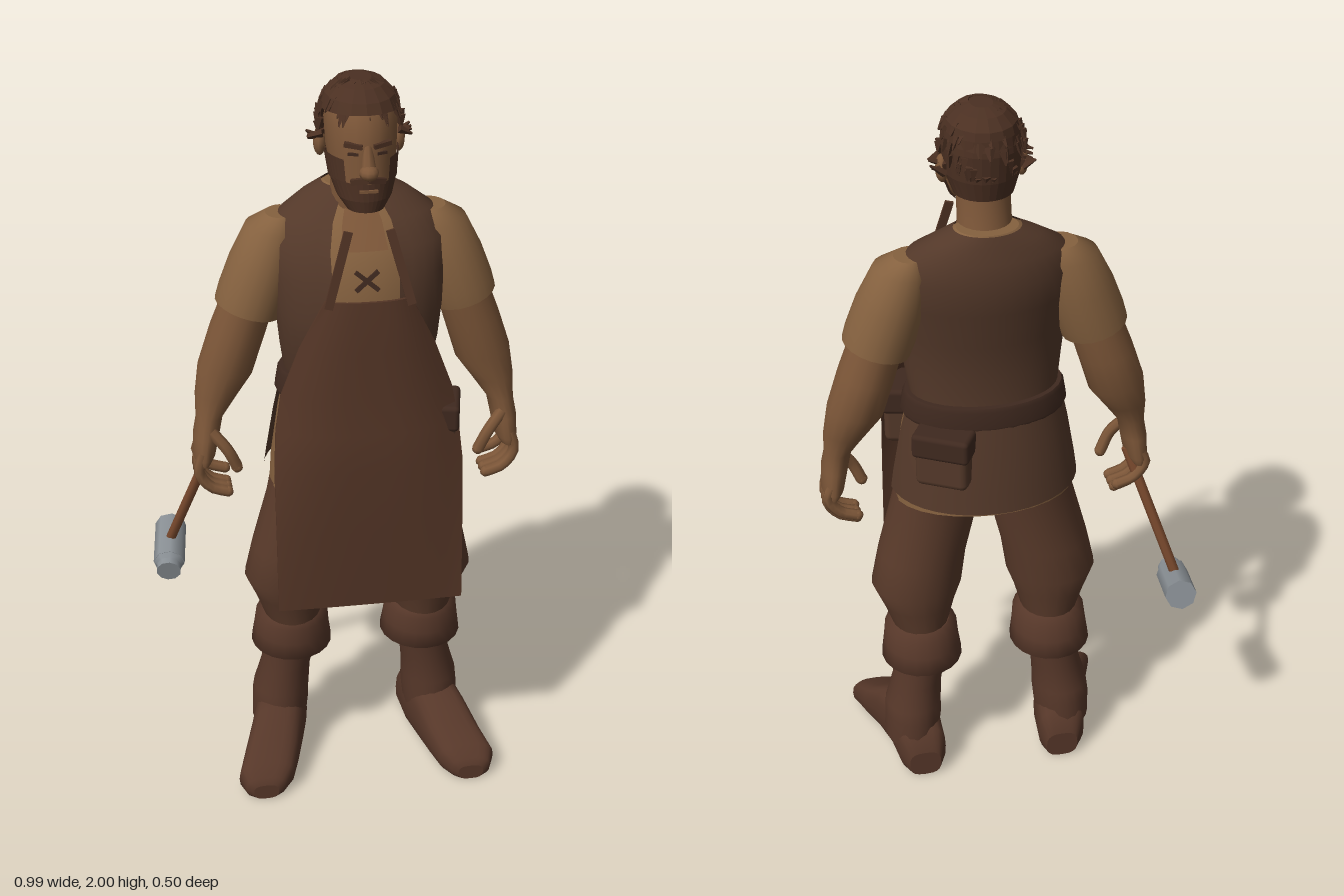
import * as THREE from 'three';
import { RoundedBoxGeometry } from 'three/addons/geometries/RoundedBoxGeometry.js';

const CX = 0.055; // body centre line
const V = (x, y, z) => new THREE.Vector3(x, y, z);
const mat = (name, color, flat = false) => {
  const m = new THREE.MeshStandardMaterial({ color, flatShading: flat, side: THREE.DoubleSide });
  m.name = name;
  return m;
};

// Skin over elliptical sections [y, x, z, rx, rz, slopeX, slopeZ]; arc in degrees from the front leaves it open
function loft(sections, { arc = null, n = 20, power = 1 } = {}) {
  const rows = [...sections].sort((a, b) => a[0] - b[0]);
  const pos = [], idx = [];
  const [t0, t1] = (arc || [0, 360]).map(THREE.MathUtils.degToRad);
  const cols = arc ? n + 1 : n;
  const bend = (v) => Math.sign(v) * Math.abs(v) ** power;
  const ring = ([y, x, z, rx, rz, sx = 0, sz = 0]) => {
    const start = pos.length / 3;
    for (let j = 0; j < cols; j++) {
      const t = t0 + ((t1 - t0) * j) / n;
      const dx = rx * bend(Math.sin(t)), dz = rz * bend(Math.cos(t));
      pos.push(x + dx, y + sx * dx + sz * dz, z + dz);
    }
    return start;
  };
  const starts = rows.map(ring);
  for (let i = 0; i < rows.length - 1; i++) {
    for (let j = 0; j < n; j++) {
      const k = (j + 1) % cols, a = starts[i], b = starts[i + 1];
      idx.push(a + j, a + k, b + j, a + k, b + k, b + j);
    }
  }
  if (!arc) {
    [rows[0], rows[rows.length - 1]].forEach((r, end) => {
      const s = ring(r), c = pos.length / 3;
      pos.push(r[1], r[0], r[2]);
      for (let j = 0; j < n; j++) {
        const k = (j + 1) % n;
        end ? idx.push(c, s + j, s + k) : idx.push(c, s + k, s + j);
      }
    });
  }
  const g = new THREE.BufferGeometry();
  g.setAttribute('position', new THREE.Float32BufferAttribute(pos, 3));
  g.setIndex(idx);
  g.computeVertexNormals();
  return g;
}

export function createModel() {
  const model = new THREE.Group();
  model.name = 'blacksmith';
  const skin = mat('skin', 0x7c5638), linen = mat('linen', 0x85613f), vestMat = mat('vest leather', 0x533829);
  const apronMat = mat('apron leather', 0x523425), cloth = mat('trouser cloth', 0x593a2a);
  const boot = mat('boot leather', 0x563729), hair = mat('hair', 0x4b3022, true);
  const steel = mat('steel', 0x8a9095), wood = mat('wood', 0x79492d), dark = mat('dark leather', 0x3f291f);

  const add = (name, geo, m, parent = model) => {
    const mesh = new THREE.Mesh(geo, m);
    mesh.name = name;
    parent.add(mesh);
    return mesh;
  };
  const box = (name, size, p, m, rot = [0, 0, 0]) => {
    const mesh = add(name, new THREE.BoxGeometry(...size), m);
    mesh.position.set(...p);
    mesh.rotation.set(...rot);
    return mesh;
  };
  const rod = (name, a, b, r, m, sides = 8, r2 = r) => {
    const mesh = add(name, new THREE.CylinderGeometry(r2, r, a.distanceTo(b), sides), m);
    mesh.position.copy(a).lerp(b, 0.5);
    mesh.quaternion.setFromUnitVectors(V(0, 1, 0), b.clone().sub(a).normalize());
    return mesh;
  };
  // centred sections [y, z, rx, rz]
  const mid = (rows, grow = 0) => rows.map(([y, z, rx, rz, sz = 0]) => [y, CX, z, rx + grow, rz + grow, 0, sz]);
  // sections [y, distance from centre, z, r, rz, slope] on one side
  const sided = (rows, s) => rows.map(([y, u, z, r, rz, k = 0]) => [y, CX + s * u, z, r, rz, s * k]);

  // Torso
  const torso = [[1.2, -0.02, 0.19, 0.12], [1.3, 0, 0.205, 0.135], [1.4, -0.002, 0.215, 0.147], [1.5, -0.02, 0.226, 0.148],
    [1.58, -0.04, 0.23, 0.14], [1.64, -0.058, 0.195, 0.108], [1.68, -0.075, 0.135, 0.08], [1.705, -0.08, 0.085, 0.065]];
  add('vest', loft(mid(torso), { arc: [22, 338], n: 32 }), vestMat);
  add('shirt', loft(mid(torso, -0.008), { n: 32 }), linen);
  add('openCollar', loft(mid(torso.slice(4, 7), -0.004), { arc: [-15, 15], n: 6 }), skin);
  for (const r of [-0.7, 0.7]) box('chestLace', [0.075, 0.011, 0.008], [CX, 1.515, 0.128], dark, [-0.2, 0, r]);

  // Shirt tail, vest skirt and belt
  add('shirtTail', loft(mid([[1.22, -0.01, 0.19, 0.125], [1.1, 0, 0.215, 0.16], [0.96, 0.005, 0.235, 0.182, -0.1],
    [0.885, 0.008, 0.24, 0.188, -0.15]]), { n: 28 }), linen);
  add('vestSkirt', loft(mid([[1.22, -0.015, 0.197, 0.132], [1.1, -0.005, 0.224, 0.17], [0.98, 0, 0.245, 0.193],
    [0.93, 0, 0.252, 0.2]]), { arc: [95, 265], n: 18 }), vestMat);
  add('belt', loft(mid([[1.16, -0.012, 0.215, 0.146], [1.17, -0.012, 0.219, 0.15], [1.215, -0.015, 0.211, 0.143],
    [1.225, -0.015, 0.205, 0.138]]), { n: 28 }), dark);

  // Pouches
  const pouch = (name, size, p, turn) => {
    const g = new THREE.Group();
    g.name = name;
    g.position.set(...p);
    g.rotation.y = turn;
    model.add(g);
    const [w, h, d] = size;
    add('pouchBag', new RoundedBoxGeometry(w, h, d, 2, 0.018), vestMat, g);
    add('pouchFlap', new RoundedBoxGeometry(w + 0.012, h * 0.45, d + 0.012, 2, 0.012), dark, g).position.y = h * 0.3;
  };
  pouch('hipPouch', [0.12, 0.16, 0.08], [0.255, 1.09, 0.12], 1.35);
  pouch('backPouch', [0.14, 0.15, 0.07], [0.185, 1.09, -0.15], -0.5);

  // Apron: a thin sheet shaped by rows of [y, half width, z, backward curl]
  const rows = [[0.63, 0.244, 0.24, 0.003], [0.85, 0.244, 0.236, 0.02], [1.03, 0.244, 0.23, 0.04], [1.13, 0.236, 0.22, 0.06],
    [1.22, 0.22, 0.202, 0.06], [1.35, 0.172, 0.195, 0.05], [1.48, 0.108, 0.175, 0.02]];
  const sheet = new THREE.BoxGeometry(2, 6, 0.008, 12, 6, 1), sp = sheet.attributes.position;
  for (let i = 0; i < sp.count; i++) {
    const v = sp.getX(i), [y, hw, z, curl] = rows[Math.round(sp.getY(i) + 3)];
    sp.setXYZ(i, 0.053 + hw * v, y, z + sp.getZ(i) - curl * Math.abs(v) ** 3);
  }
  sheet.computeVertexNormals();
  add('apron', sheet, apronMat);
  for (const s of [-1, 1]) {
    const strap = box('apronStrap', [0.022, 0.2, 0.008], [CX + s * 0.078, 1.565, 0.165], apronMat, [-0.13, 0, s * 0.27]);
    strap.rotation.order = 'ZXY';
  }

  for (const s of [-1, 1]) {
    const side = s > 0 ? 'left' : 'right';
    const P = (u, y, z) => V(CX + s * u, y, z);

    // Arm
    add(side + 'Sleeve', loft(sided([[1.635, 0.19, -0.06, 0.04, 0.045], [1.6, 0.207, -0.057, 0.074, 0.08, 0.1],
      [1.5, 0.24, -0.052, 0.085, 0.094, 0.25], [1.42, 0.268, -0.05, 0.086, 0.095, 0.3], [1.385, 0.28, -0.05, 0.084, 0.093, 0.3]], s)), linen);
    add(side + 'Arm', loft(sided([[1.43, 0.268, -0.055, 0.065, 0.07, 0.3], [1.31, 0.31, -0.06, 0.071, 0.078, 0.2],
      [1.21, 0.342, -0.06, 0.072, 0.068, 0.2], [1.14, 0.37, -0.05, 0.055, 0.054, 0.1], [1.08, 0.39, -0.04, 0.036, 0.042],
      [1.03, 0.4, -0.036, 0.035, 0.055], [0.97, 0.408, -0.036, 0.03, 0.06], [0.95, 0.41, -0.036, 0.02, 0.055]], s), { n: 16 }), skin);
    const digit = (name, pts, r) => {
      add(name, new THREE.TubeGeometry(new THREE.CatmullRomCurve3(pts), 8, r, 7), skin);
      add(name + 'Tip', new THREE.SphereGeometry(r, 7, 6), skin).position.copy(pts[pts.length - 1]);
    };
    for (let i = 0; i < 4; i++) {
      const z = 0.006 - i * 0.028, up = i === 3 ? 0.025 : 0;
      digit(side + 'Finger', [P(0.412, 0.99, z), P(0.425, 0.93 + up, z), P(0.395, 0.885 + up, z), P(0.35, 0.868 + up, z)], 0.015);
    }
    digit(side + 'Thumb', [P(0.39, 1.05, 0), P(0.35, 1.0, 0.015), P(0.325, 0.945, 0.012)], 0.016);

    // Leg
    add(side + 'TrouserLeg', loft(sided([[1.0, 0.11, 0, 0.108, 0.12], [0.85, 0.132, 0.014, 0.118, 0.118], [0.7, 0.17, 0.01, 0.12, 0.117],
      [0.6, 0.188, 0.005, 0.124, 0.114], [0.54, 0.186, 0, 0.1, 0.1], [0.46, 0.182, -0.003, 0.075, 0.088]], s)), cloth);
    add(side + 'BootCuff', loft(sided([[0.475, 0.18, -0.005, 0.078, 0.088], [0.458, 0.182, -0.01, 0.1, 0.106], [0.41, 0.183, -0.015, 0.105, 0.112],
      [0.362, 0.183, -0.02, 0.112, 0.118], [0.348, 0.183, -0.02, 0.08, 0.085]], s)), boot);
    add(side + 'BootShaft', loft(sided([[0.37, 0.185, -0.02, 0.074, 0.08], [0.28, 0.2, -0.025, 0.069, 0.078], [0.205, 0.213, -0.028, 0.078, 0.086],
      [0.17, 0.215, -0.032, 0.08, 0.094], [0.09, 0.22, -0.03, 0.076, 0.096]], s)), boot);
    // Foot stations run heel to toe: [z, outward, half width, height]
    const foot = [[-0.14, 0.2, 0.045, 0.08], [-0.115, 0.203, 0.066, 0.15], [-0.02, 0.214, 0.073, 0.2], [0.06, 0.236, 0.074, 0.175],
      [0.13, 0.26, 0.077, 0.125], [0.2, 0.284, 0.077, 0.09], [0.232, 0.29, 0.055, 0.065], [0.24, 0.29, 0.035, 0.045]];
    add(side + 'Foot', loft(foot.map(([z, u, r, h]) => [z, CX + s * u, -h / 2, r, h / 2]), { power: 0.7 }).rotateX(Math.PI / 2), boot);
  }

  // Hammer
  const head = V(-0.45, 0.6, -0.16), axis = V(0.02, 0.04, -0.17).normalize();
  const along = (d) => head.clone().addScaledVector(axis, d);
  rod('hammerHandle', V(-0.325, 0.99, -0.05), V(-0.452, 0.615, -0.162), 0.014, wood);
  rod('hammerHead', along(-0.06), along(0.088), 0.043, steel, 8);
  rod('hammerNeck', along(-0.075), along(-0.06), 0.03, steel, 8, 0.042);
  rod('hammerFace', along(-0.094), along(-0.074), 0.034, steel, 10);

  // Head and neck
  add('neck', loft(mid([[1.62, -0.06, 0.085, 0.08], [1.7, -0.04, 0.068, 0.07], [1.8, -0.025, 0.066, 0.07]])), skin);
  const skull = [[1.705, 0.09, 0.038, 0.036], [1.73, 0.07, 0.062, 0.064], [1.775, 0.04, 0.078, 0.092], [1.84, 0.01, 0.087, 0.118],
    [1.9, 0.002, 0.09, 0.122], [1.95, -0.008, 0.083, 0.106], [1.98, -0.01, 0.058, 0.075], [1.99, -0.01, 0.025, 0.03]];
  add('face', loft(mid(skull)), skin);
  add('beard', loft(mid([[1.7, 0.09, 0.04, 0.04], ...skull.slice(1, 3)], 0.006), { arc: [-100, 100] }), hair);
  for (const s of [-1, 1]) {
    const a = s > 0 ? [38, 95] : [-95, -38];
    add('sideburn', loft(mid([[1.77, 0.04, 0.084, 0.096], [1.83, 0.014, 0.092, 0.12]]), { arc: a, n: 8 }), hair);
    box('moustache', [0.045, 0.014, 0.012], [CX + s * 0.021, 1.783, 0.135], hair, [0, s * 0.35, -s * 0.2]);
    box('eyebrow', [0.045, 0.011, 0.014], [CX + s * 0.035, 1.868, 0.119], hair, [0, s * 0.3, s * 0.12]);
    box('eye', [0.026, 0.007, 0.006], [CX + s * 0.035, 1.846, 0.118], dark, [0, s * 0.3, 0]);
    const ear = add('ear', new THREE.SphereGeometry(1, 10, 8), skin);
    ear.scale.set(0.016, 0.036, 0.024);
    ear.position.set(CX + s * 0.098, 1.835, -0.012);
  }
  box('mouth', [0.045, 0.007, 0.006], [CX, 1.757, 0.14], skin);
  rod('noseBridge', V(CX, 1.8, 0.137), V(CX, 1.865, 0.116), 0.02, skin, 8, 0.011);
  const nose = add('noseTip', new THREE.SphereGeometry(1, 10, 8), skin);
  nose.scale.set(0.024, 0.019, 0.028);
  nose.position.set(CX, 1.805, 0.14);

  // Hair: cap, back and loose locks
  add('hairTop', loft(mid([[1.925, -0.008, 0.098, 0.118, 0.1], [1.96, -0.01, 0.086, 0.104], [1.985, -0.012, 0.06, 0.075],
    [1.996, -0.012, 0.028, 0.035]]), { n: 16 }), hair);
  add('hairBack', loft(mid([[1.78, -0.03, 0.075, 0.075], [1.83, -0.012, 0.094, 0.106], [1.9, -0.008, 0.1, 0.117],
    [1.94, -0.008, 0.095, 0.112]]), { arc: [82, 278], n: 16 }), hair);
  let seed = 7;
  const rnd = () => (seed = (seed * 16807) % 2147483647) / 2147483647;
  for (let i = 0; i < 130; i++) {
    const t = rnd() * Math.PI * 2, front = Math.cos(t) > 0.15;
    const lat = front ? 0.4 + rnd() * 0.9 : -0.75 + rnd() * 2;
    const at = (la, r) => V(CX + 0.098 * r * Math.cos(la) * Math.sin(t), 1.89 + 0.103 * r * Math.sin(la), -0.01 + 0.116 * r * Math.cos(la) * Math.cos(t));
    const lock = rod('hairLock', at(lat, 1), at(lat - 0.3, 1.08), 0.015, hair, 4, 0.003);
    lock.scale.z = 0.6;
  }
  for (const s of [-1, 1]) for (let i = 0; i < 5; i++) {
    rod('sideLock', V(CX + s * 0.095, 1.865 - i * 0.008, 0.015 - i * 0.014), V(CX + s * (0.12 + rnd() * 0.012), 1.83 + rnd() * 0.03, 0.01 - i * 0.014), 0.011, hair, 4, 0.003);
  }
  return model;
}
